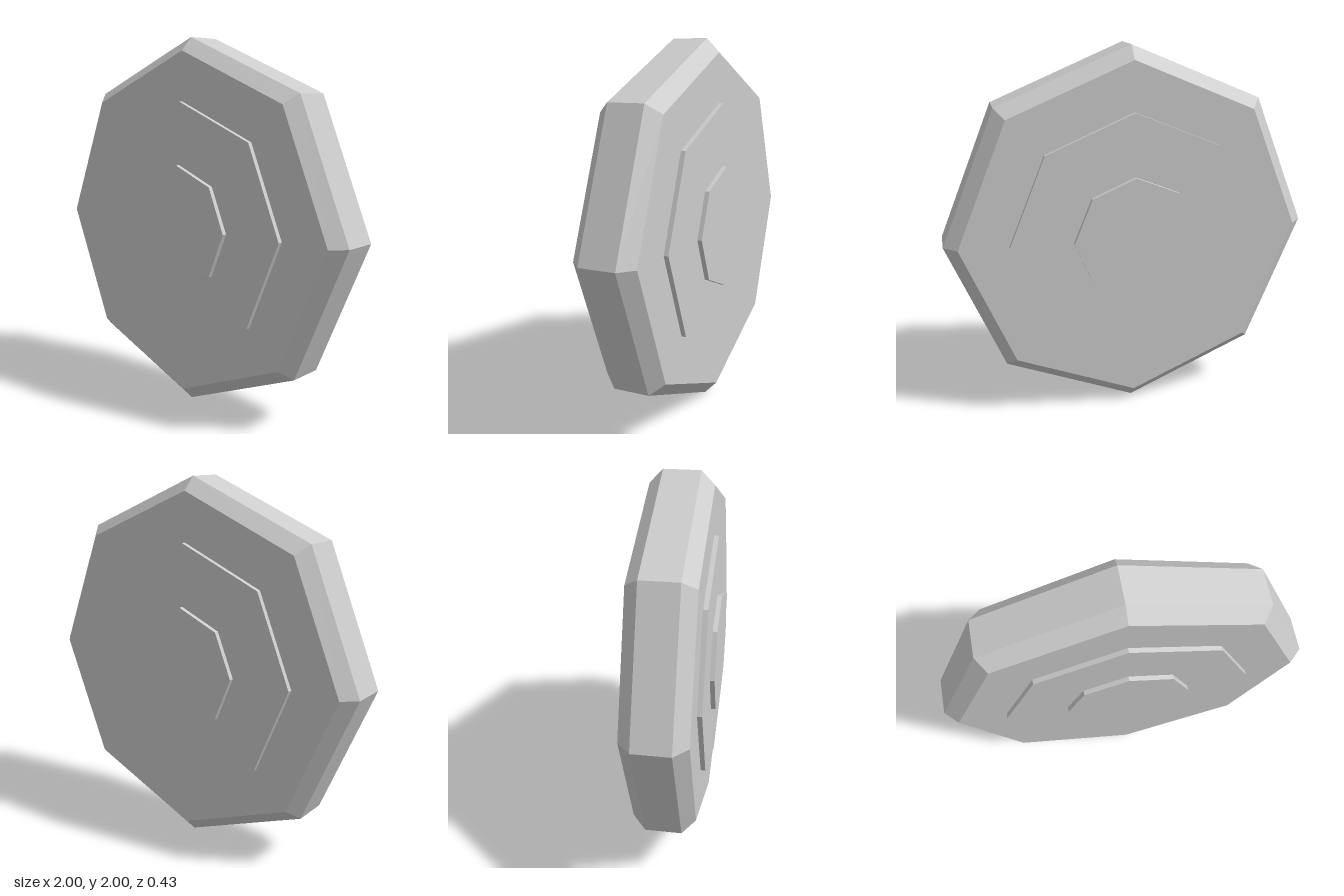
import * as THREE from 'three';

const SIDES = 8;

export function createModel() {
  const grey = new THREE.MeshStandardMaterial({ color: 0xcccccc, flatShading: true });
  grey.name = 'light grey';

  const model = new THREE.Group();
  model.name = 'octagonalDisc';

  const add = (name, geometry, z = 0) => {
    const mesh = new THREE.Mesh(geometry.rotateX(Math.PI / 2), grey);
    mesh.name = name;
    mesh.position.set(0, 1, z);
    model.add(mesh);
  };

  // Bevelled body: half profile (radius, depth) spun into eight flat sides
  const profile = [
    [0, -0.165], [0.928, -0.165], [1, -0.096],
    [1, 0.096], [0.928, 0.165], [0, 0.165],
  ].map(([r, d]) => new THREE.Vector2(r, d));
  add('body', new THREE.LatheGeometry(profile, SIDES));

  // Two shallow raised steps on each face
  const steps = [
    ['OuterStep', 0.667, 0.165, 0.19],
    ['InnerStep', 0.333, 0.19, 0.215],
  ];
  for (const [side, dir] of [['front', 1], ['back', -1]]) {
    for (const [name, radius, from, to] of steps) {
      add(side + name, new THREE.CylinderGeometry(radius, radius, to - from, SIDES), dir * (from + to) / 2);
    }
  }

  return model;
}
